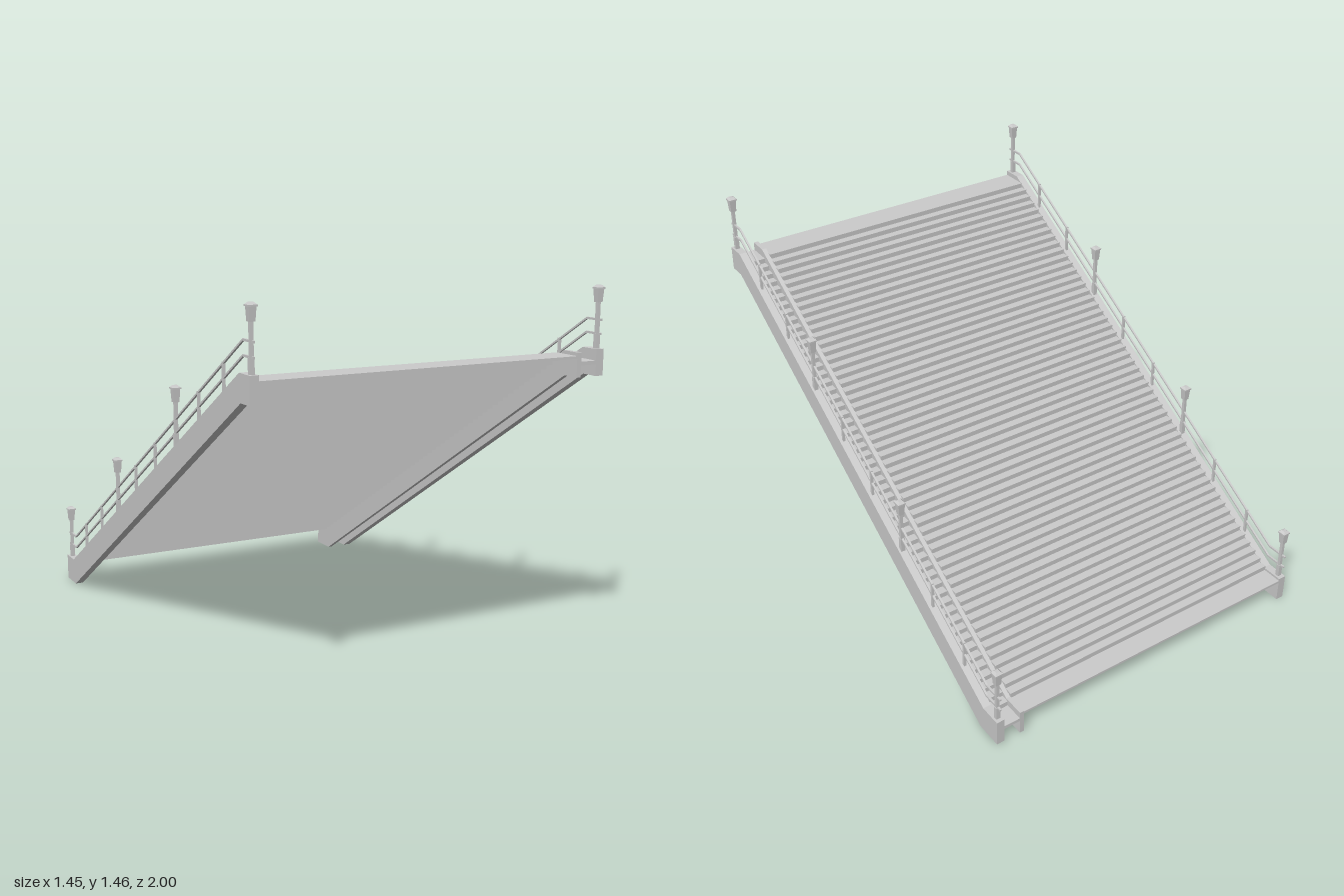
import * as THREE from 'three';

const mat = new THREE.MeshStandardMaterial({ color: 0xcccccc, flatShading: true });

// Top line of the side beams: height at a given z
const lineY = (z) => 0.11 + (1.11 * (THREE.MathUtils.clamp(z, -0.91, 0.92) + 0.91)) / 1.83;

function add(parent, name, geometry, x = 0, y = 0, z = 0) {
  const mesh = new THREE.Mesh(geometry, mat);
  mesh.name = name;
  mesh.position.set(x, y, z);
  parent.add(mesh);
  return mesh;
}

// Extrudes a (z, y) outline across the width from x0 to x1
function slab(parent, name, outline, x0, x1) {
  const shape = new THREE.Shape(outline.map(([z, y]) => new THREE.Vector2(z, y)));
  const geo = new THREE.ExtrudeGeometry(shape, { depth: x1 - x0, bevelEnabled: false });
  geo.rotateY(-Math.PI / 2);
  return add(parent, name, geo, x1);
}

// Beam outline following the stair slope with a level piece at each end
const beam = (drop) => [
  [1, 1.12], [1, 1.22 - drop], [0.92, 1.22 - drop], [-0.91, 0.11 - drop],
  [-1, 0.11 - drop], [-1, 0], [-0.89, 0], [0.93, 1.12],
];

// Folded stair plate with landings, constant thickness
function stairOutline(steps, z0, z1, y0, y1, t) {
  const top = [[-1, y0]];
  for (let i = 0; i < steps; i++) {
    const z = z0 + ((z1 - z0) * i) / (steps - 1);
    top.push([z, y0 + ((y1 - y0) * i) / steps], [z, y0 + ((y1 - y0) * (i + 1)) / steps]);
  }
  top.push([1, y1]);
  const bottom = top.map(([z, y], i) => [
    i === 0 || i === top.length - 1 ? z : z + t, y - t,
  ]);
  return [...top, ...bottom.reverse()];
}

// Handrail band at a height above the beam
function rail(parent, name, height, x) {
  const path = [[-1, 0.11], [-0.91, 0.11], [0.92, 1.22], [1, 1.22]];
  const h = 0.004;
  const upper = path.map(([z, y]) => [z, y + height + h]);
  const lower = path.map(([z, y]) => [z, y + height - h]).reverse();
  slab(parent, name, [...upper, ...lower], x - h, x + h);
}

// Square prism, optionally tapered
function prism(top, bottom, height) {
  const geo = new THREE.CylinderGeometry(top / Math.SQRT2, bottom / Math.SQRT2, height, 4);
  return geo.rotateY(Math.PI / 4);
}

function lampPost(x, z) {
  const lamp = new THREE.Group();
  lamp.name = 'lampPost';
  add(lamp, 'lampBase', prism(0.017, 0.017, 0.06), 0, 0.025, 0);
  add(lamp, 'lampStem', prism(0.013, 0.013, 0.18), 0, 0.085, 0);
  add(lamp, 'lanternBody', prism(0.028, 0.022, 0.05), 0, 0.197, 0);
  add(lamp, 'lanternCap', prism(0.034, 0.034, 0.006), 0, 0.224, 0);
  add(lamp, 'lanternRoof', prism(0.016, 0.032, 0.008), 0, 0.231, 0);
  lamp.position.set(x, lineY(z), z);
  return lamp;
}

export function createModel() {
  const model = new THREE.Group();
  model.name = 'stairway';

  // Main flight and the narrow side channel
  slab(model, 'mainSteps', stairOutline(54, -0.915, 0.88, 0.1, 1.2, 0.01), -0.695, 0.606);
  slab(model, 'channelSteps', stairOutline(54, -0.92, 0.9, 0.075, 1.178, 0.014), 0.622, 0.695);
  slab(model, 'channelDivider', beam(0.007), 0.604, 0.623);

  for (const side of [-1, 1]) {
    const x = side * 0.709;
    const railing = new THREE.Group();
    railing.name = side > 0 ? 'leftRailing' : 'rightRailing';
    model.add(railing);

    // Side beam and its two rails
    slab(model, side > 0 ? 'leftBeam' : 'rightBeam', beam(0), x - 0.017, x + 0.017);
    rail(railing, 'upperRail', 0.108, x);
    rail(railing, 'lowerRail', 0.056, x);

    // Lamp posts with two plain posts between each pair
    for (let i = 0; i < 10; i++) {
      const z = 0.978 - (i * 1.954) / 9;
      if (i % 3 === 0) railing.add(lampPost(x, z));
      else add(railing, 'railPost', new THREE.BoxGeometry(0.01, 0.125, 0.01), x, lineY(z) + 0.05, z);
    }
  }
  return model;
}
